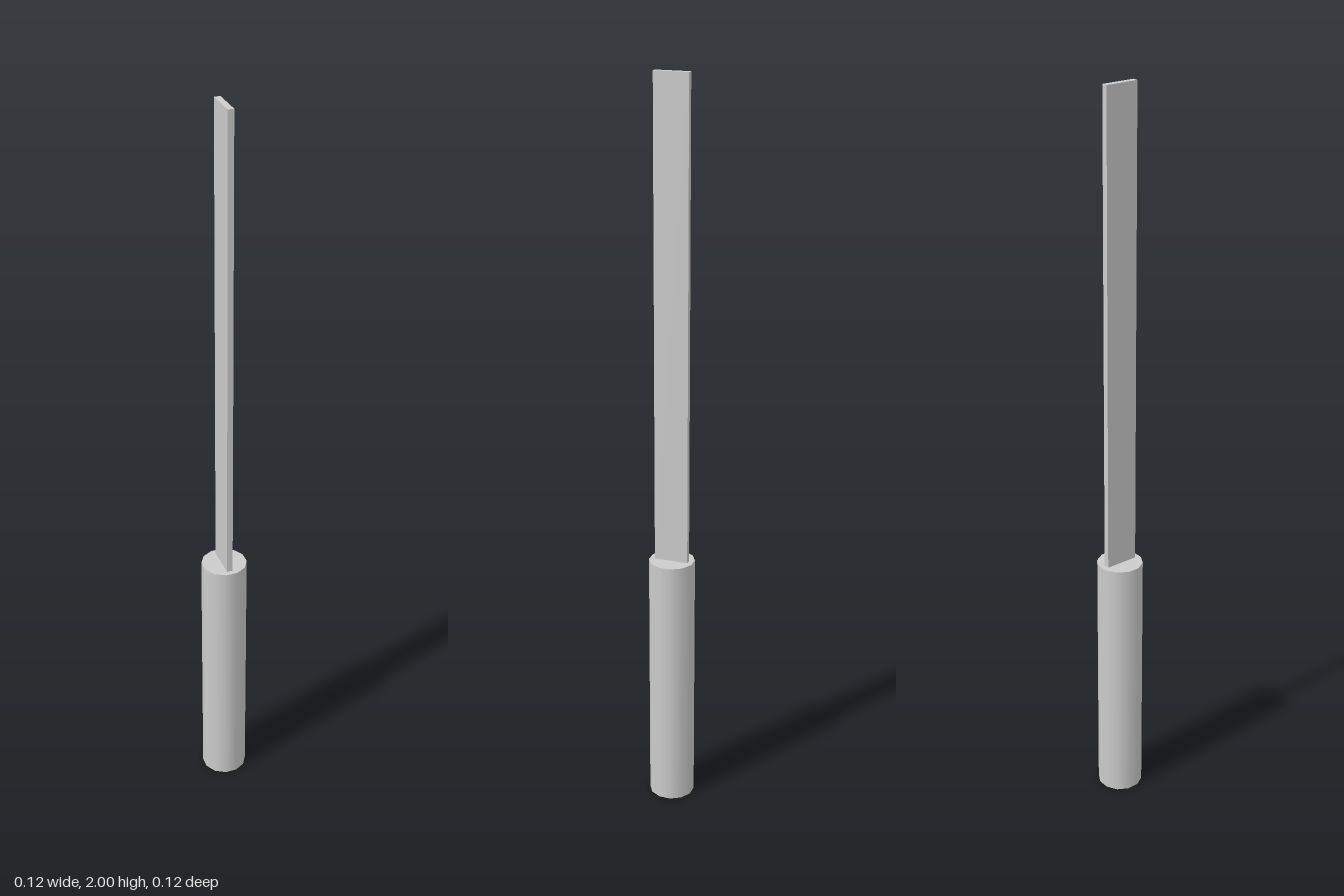
import * as THREE from 'three';

export function createModel() {
  const group = new THREE.Group();
  const material = new THREE.MeshStandardMaterial({ color: 0xcccccc });

  const handleHeight = 0.715;
  const totalHeight = 2;
  const sides = 12;

  // Round grip, turned so flats face the four axes
  const handle = new THREE.Mesh(
    new THREE.CylinderGeometry(0.062, 0.062, handleHeight, sides), material);
  handle.name = 'handle';
  handle.rotation.y = Math.PI / sides;
  handle.position.y = handleHeight / 2;
  group.add(handle);

  // Flat straight blade standing on the grip
  const bladeHeight = totalHeight - handleHeight;
  const blade = new THREE.Mesh(
    new THREE.BoxGeometry(0.016, bladeHeight, 0.092), material);
  blade.name = 'blade';
  blade.position.y = handleHeight + bladeHeight / 2;
  group.add(blade);

  return group;
}
